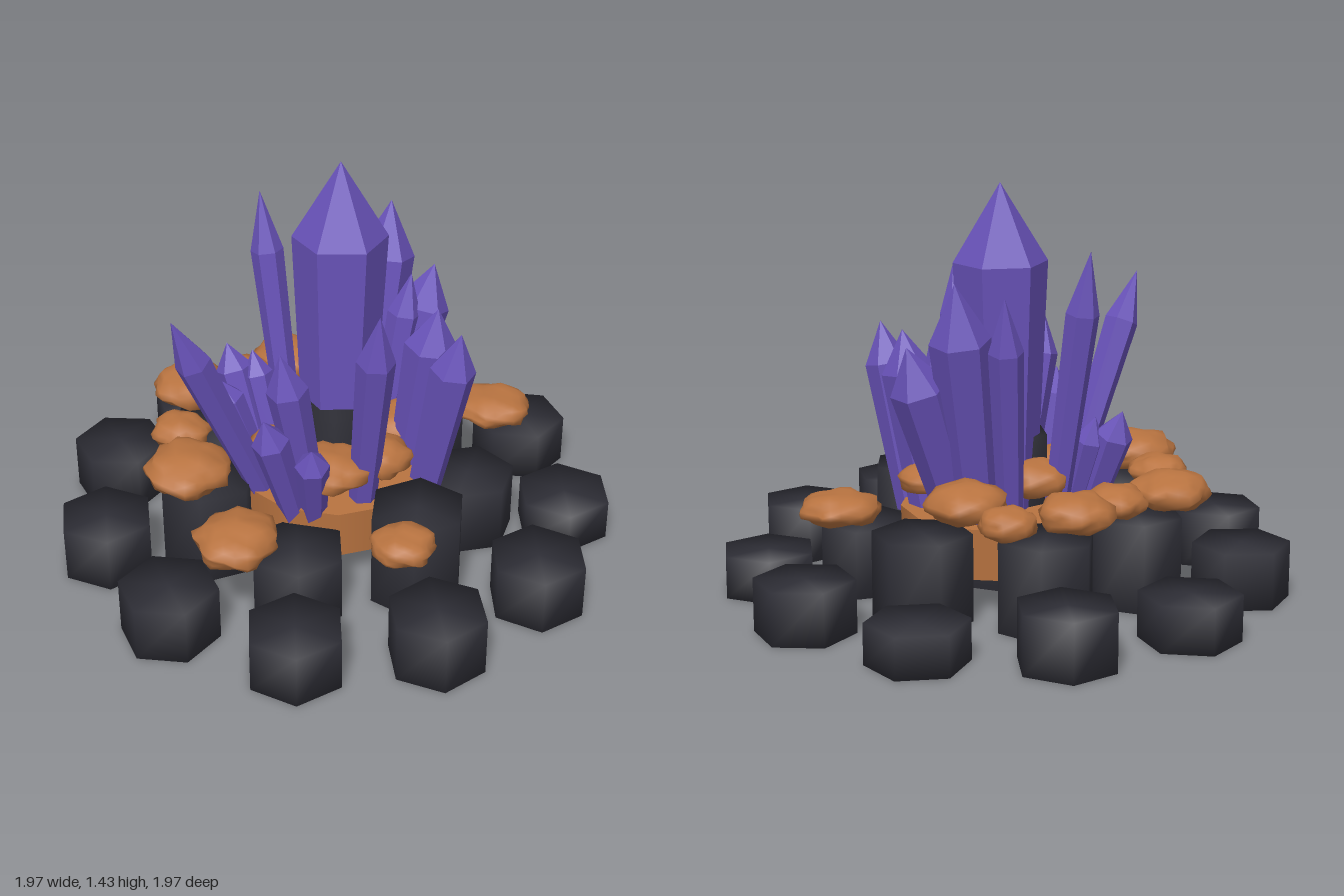
import * as THREE from 'three';
import { mergeVertices } from 'three/addons/utils/BufferGeometryUtils.js';

const stone = new THREE.MeshStandardMaterial({ color: 0x2e2e36 });
stone.name = 'darkStone';
const earth = new THREE.MeshStandardMaterial({ color: 0xb87340 });
earth.name = 'copperEarth';
const violet = new THREE.MeshStandardMaterial({ color: 0x6852b8, flatShading: true });
violet.name = 'violetCrystal';

// Weld corners so shading runs smoothly over the whole shape
function weld(geometry) {
  geometry.deleteAttribute('uv');
  geometry.deleteAttribute('normal');
  const g = mergeVertices(geometry, 1e-4);
  g.computeVertexNormals();
  return g;
}

// Six-sided stone block standing on the ground; turn is the corner angle in degrees
function block(name, x, z, radius, height, turn) {
  const g = weld(new THREE.CylinderGeometry(radius, radius, height, 6));
  const mesh = new THREE.Mesh(g, stone);
  mesh.name = name;
  mesh.position.set(x, height / 2, z);
  mesh.rotation.y = THREE.MathUtils.degToRad(30 - turn);
  return mesh;
}

// Flattened, bumpy clump of earth with a flat underside
function clump(x, y, z, radius, halfHeight, seed) {
  const g = weld(new THREE.IcosahedronGeometry(1, 3));
  const p = g.attributes.position;
  const v = new THREE.Vector3();
  for (let i = 0; i < p.count; i++) {
    v.fromBufferAttribute(p, i);
    const bump = Math.sin(5 * v.x + seed) * Math.sin(6 * v.z + 2 * seed) * 0.09
      + Math.sin(8 * v.y + 7 * v.x + 3 * seed) * 0.06;
    v.multiplyScalar(0.97 + bump);
    p.setXYZ(i, v.x * radius, Math.max(v.y, -0.7) * halfHeight, v.z * radius);
  }
  g.computeVertexNormals();
  const mesh = new THREE.Mesh(g, earth);
  mesh.name = 'earthClump';
  mesh.position.set(x, y, z);
  return mesh;
}

// Crystal from base to tip: a shaft widening to a shoulder, then a point
function crystal(base, tip, radius, shoulder = 0.78) {
  const from = new THREE.Vector3(...base);
  const axis = new THREE.Vector3(...tip).sub(from);
  const length = axis.length();
  const profile = [[0, 0], [radius * 0.72, 0], [radius, length * shoulder], [0, length]];
  const g = new THREE.LatheGeometry(profile.map(([r, h]) => new THREE.Vector2(r, h)), 6);
  const mesh = new THREE.Mesh(g, violet);
  mesh.name = 'crystal';
  mesh.position.copy(from);
  mesh.quaternion.setFromUnitVectors(new THREE.Vector3(0, 1, 0), axis.normalize());
  return mesh;
}

export function createModel() {
  const model = new THREE.Group();
  model.name = 'crystalCluster';

  // Outer ring: [height, corner angle], starting at +x and going towards +z
  const outer = [[0.185, -19], [0.15, 0], [0.2, 0], [0.21, -5], [0.19, 0], [0.2, -21],
    [0.2, -5], [0.2, -25], [0.16, -14], [0.2, 3], [0.14, 30]];
  outer.forEach(([h, turn], i) => {
    const a = (i / outer.length) * Math.PI * 2;
    model.add(block('outerBlock', Math.cos(a) * 0.835, Math.sin(a) * 0.835, 0.172, h, turn));
  });

  // Inner ring, taller
  const inner = [[0.35, 8], [0.235, 0], [0.34, 10], [0.31, 0], [0.31, 15], [0.305, -15], [0.24, 20]];
  inner.forEach(([h, turn], i) => {
    const a = THREE.MathUtils.degToRad(86) + (i / inner.length) * Math.PI * 2;
    model.add(block('innerBlock', Math.cos(a) * 0.48, Math.sin(a) * 0.48, 0.172, h, turn));
  });
  model.add(block('centreBlock', -0.02, 0.02, 0.155, 0.55, 0));

  // Earth bed under the crystals
  const bed = new THREE.Mesh(new THREE.CylinderGeometry(0.37, 0.36, 0.18, 12), earth);
  bed.name = 'earthBed';
  bed.position.set(0, 0.21, 0);
  model.add(bed);

  // Clumps: x, y, z, radius, half height
  [
    [-0.29, 0.41, -0.54, 0.14, 0.07], [-0.075, 0.4, -0.505, 0.11, 0.06],
    [0.12, 0.4, -0.53, 0.13, 0.07], [0.35, 0.39, -0.46, 0.095, 0.06],
    [0.37, 0.42, -0.27, 0.135, 0.075], [-0.46, 0.4, -0.3, 0.105, 0.06],
    [-0.56, 0.41, -0.06, 0.155, 0.075], [-0.585, 0.36, 0.325, 0.145, 0.07],
    [-0.13, 0.355, 0.635, 0.11, 0.055], [0.62, 0.36, 0.11, 0.135, 0.06],
    [-0.15, 0.43, 0.23, 0.13, 0.07], [0.04, 0.42, 0.24, 0.11, 0.07],
    [0.25, 0.41, 0.08, 0.13, 0.06], [-0.2, 0.41, 0, 0.13, 0.06],
    [0.0, 0.42, -0.17, 0.12, 0.07],
  ].forEach((c, i) => model.add(clump(...c, i * 1.7 + 0.4)));

  // Main crystal in the middle
  const main = crystal([0.02, 0.2, -0.01], [0.045, 1.435, -0.03], 0.165);
  main.name = 'mainCrystal';
  model.add(main);

  // Leaning crystals around it: base, tip, radius
  [
    [[-0.3, 0.25, 0.02], [-0.64, 1.06, 0.03], 0.062],
    [[-0.2, 0.25, 0.17], [-0.33, 0.92, 0.19], 0.072],
    [[-0.27, 0.25, 0.17], [-0.41, 0.7, 0.21], 0.065],
    [[-0.22, 0.25, 0.22], [-0.29, 0.6, 0.32], 0.06],
    [[-0.05, 0.25, 0.26], [-0.09, 1.1, 0.42], 0.066],
    [[0.2, 0.25, 0.28], [0.25, 0.92, 0.4], 0.08],
    [[0.22, 0.25, 0.14], [0.285, 0.92, 0.215], 0.095],
    [[0.22, 0.25, -0.04], [0.46, 0.92, -0.06], 0.1],
    [[0.21, 0.25, -0.03], [0.34, 0.93, -0.03], 0.06],
    [[0.2, 0.25, -0.11], [0.365, 1.14, -0.2], 0.105],
    [[0.13, 0.25, -0.2], [0.26, 1.1, -0.33], 0.06],
    [[-0.06, 0.25, -0.2], [-0.08, 1.225, -0.36], 0.058],
    [[-0.22, 0.25, -0.18], [-0.33, 0.6, -0.24], 0.06],
    [[-0.19, 0.25, -0.21], [-0.23, 0.66, -0.36], 0.068],
    [[-0.14, 0.25, -0.18], [-0.16, 0.64, -0.3], 0.055],
  ].forEach(([base, tip, r]) => model.add(crystal(base, tip, r)));

  return model;
}
